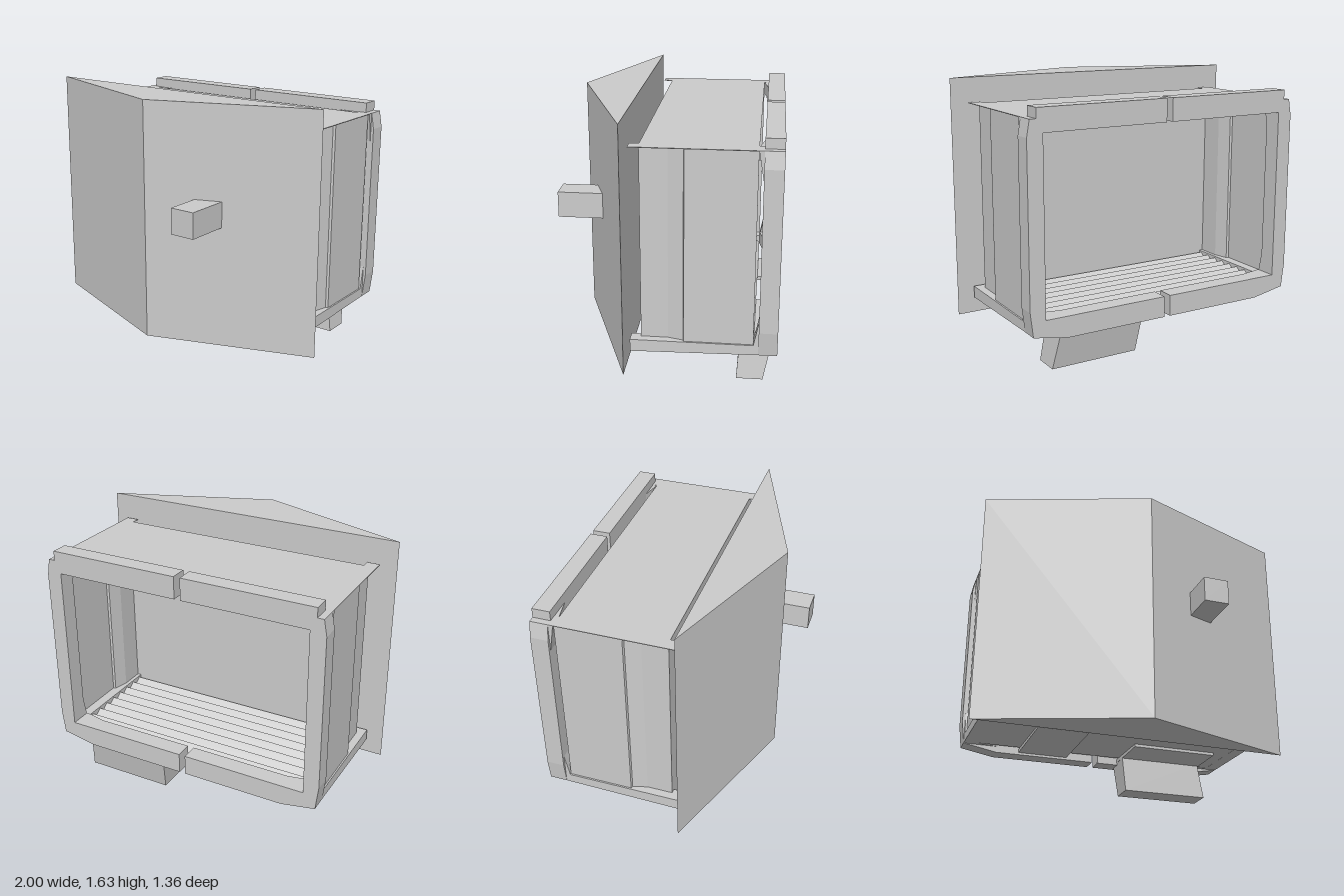
import * as THREE from 'three';

const material = new THREE.MeshStandardMaterial({ color: 0xcccccc, flatShading: true, side: THREE.DoubleSide });

function outline(points) {
  return new THREE.Shape(points.map(([a, b]) => new THREE.Vector2(a, b)));
}

function extrude(points, depth) {
  return new THREE.ExtrudeGeometry(outline(points), { depth, bevelEnabled: false });
}

// Plan outline given as [x, z], raised from y0 to y1
function raisePlan(points, y0, y1) {
  const g = extrude(points.map(([x, z]) => [x, -z]), y1 - y0);
  return g.rotateX(-Math.PI / 2).translate(0, y0, 0);
}

// Side outline given as [z, y], spanning x0 to x1
function spanSide(points, x0, x1) {
  const g = extrude(points.map(([z, y]) => [-z, y]), x1 - x0);
  return g.rotateY(Math.PI / 2).translate(x0, 0, 0);
}

// Box from its limits
function block(x0, x1, y0, y1, z0, z1) {
  return new THREE.BoxGeometry(x1 - x0, y1 - y0, z1 - z0)
    .translate((x0 + x1) / 2, (y0 + y1) / 2, (z0 + z1) / 2);
}

export function createModel() {
  const model = new THREE.Group();
  const add = (name, geometry, parent = model) => {
    const mesh = new THREE.Mesh(geometry, material);
    mesh.name = name;
    parent.add(mesh);
    return mesh;
  };

  // Wedge-shaped front panel and its square knob
  add('frontPanel', raisePlan([[-1, 0.205], [0, 0.57], [1, 0.205]], 0.13, 1.63));
  add('knob', block(0.295, 0.455, 0.89, 1.05, 0.4, 0.68));

  // Thin shell: top sheet with two front tabs, and front wall
  const top = [[-0.9, 0.175], [-0.82, 0.175], [-0.82, 0.12], [0.82, 0.12], [0.82, 0.175],
    [0.9, 0.175], [0.9, -0.57], [0.81, -0.57], [0.81, -0.54], [-0.81, -0.54], [-0.81, -0.57], [-0.9, -0.57]];
  add('topSheet', raisePlan(top, 1.476, 1.48));
  add('frontWall', block(-0.85, 0.85, 0.25, 1.477, 0.115, 0.12));

  // Ribbed floor: a sawtooth section over a thin plate
  const teeth = 8, zBack = -0.54, zFront = 0.115;
  const section = [[zFront, 0.237], [zBack, 0.25]];
  for (let i = 0; i < teeth; i++) {
    const z = zBack + (i * (zFront - zBack)) / teeth;
    section.push([z, 0.255], [z + 0.06, 0.3]);
  }
  section.push([zFront, 0.255]);
  add('ribbedFloor', spanSide(section, -0.82, 0.82));

  // Mounting plates under the floor
  add('footPlate', block(0.16, 0.72, 0.225, 0.25, -0.6, -0.2));
  add('underPlate', block(-0.53, -0.2, 0.225, 0.25, -0.57, -0.05));

  // Tapered foot: a box whose lower ring is shifted
  const foot = block(0, 1, 0, 0.24, 0, 1);
  const p = foot.attributes.position;
  for (let i = 0; i < p.count; i++) {
    const low = p.getY(i) < 0.1, right = p.getX(i) > 0.5, front = p.getZ(i) > 0.5;
    p.setX(i, right ? (low ? 0.745 : 0.71) : (low ? 0.18 : 0.16));
    p.setZ(i, front ? (low ? -0.44 : -0.455) : (low ? -0.6 : -0.65));
  }
  foot.computeVertexNormals();
  add('foot', foot);

  // Everything below is mirrored left to right
  for (const side of [1, -1]) {
    const half = new THREE.Group();
    half.name = side > 0 ? 'leftHalf' : 'rightHalf';
    half.scale.x = side;
    model.add(half);

    // Stepped side wall
    const wall = [[0.85, 0.12], [0.85, -0.04], [0.875, -0.13], [0.89, -0.135], [0.89, -0.54],
      [0.885, -0.54], [0.885, -0.14], [0.87, -0.135], [0.845, -0.04], [0.845, 0.12]];
    add('sideWall', raisePlan(wall, 0.3, 1.478), half);

    // Base rail
    add('baseRail', spanSide([[0.18, 0.235], [0.18, 0.31], [-0.57, 0.31], [-0.57, 0.25]], 0.82, 0.9), half);

    // Back frame half, split at the centre line
    const frame = [[0.02, 1.54], [0.86, 1.54], [0.86, 1.48], [0.9, 1.48], [0.918, 1.38],
      [0.918, 0.4], [0.9, 0.25], [0.68, 0.21], [0.02, 0.21], [0.02, 0.34],
      [0.82, 0.34], [0.82, 1.4], [0.02, 1.4]];
    add('backFrame', extrude(frame, 0.11).translate(0, 0, -0.68), half);

    // Corner gussets joining the shell to the frame
    add('upperGusset', spanSide([[-0.54, 1.478], [-0.57, 1.478], [-0.57, 1.3]], 0.82, 0.9), half);
    add('lowerGusset', spanSide([[-0.54, 0.31], [-0.57, 0.31], [-0.57, 0.46]], 0.82, 0.9), half);
    add('topGusset', raisePlan([[0.82, -0.54], [0.82, -0.57], [0.67, -0.57]], 1.4, 1.478), half);
    add('bottomGusset', raisePlan([[0.82, -0.54], [0.82, -0.57], [0.67, -0.57]], 0.25, 0.34), half);
  }

  return model;
}
